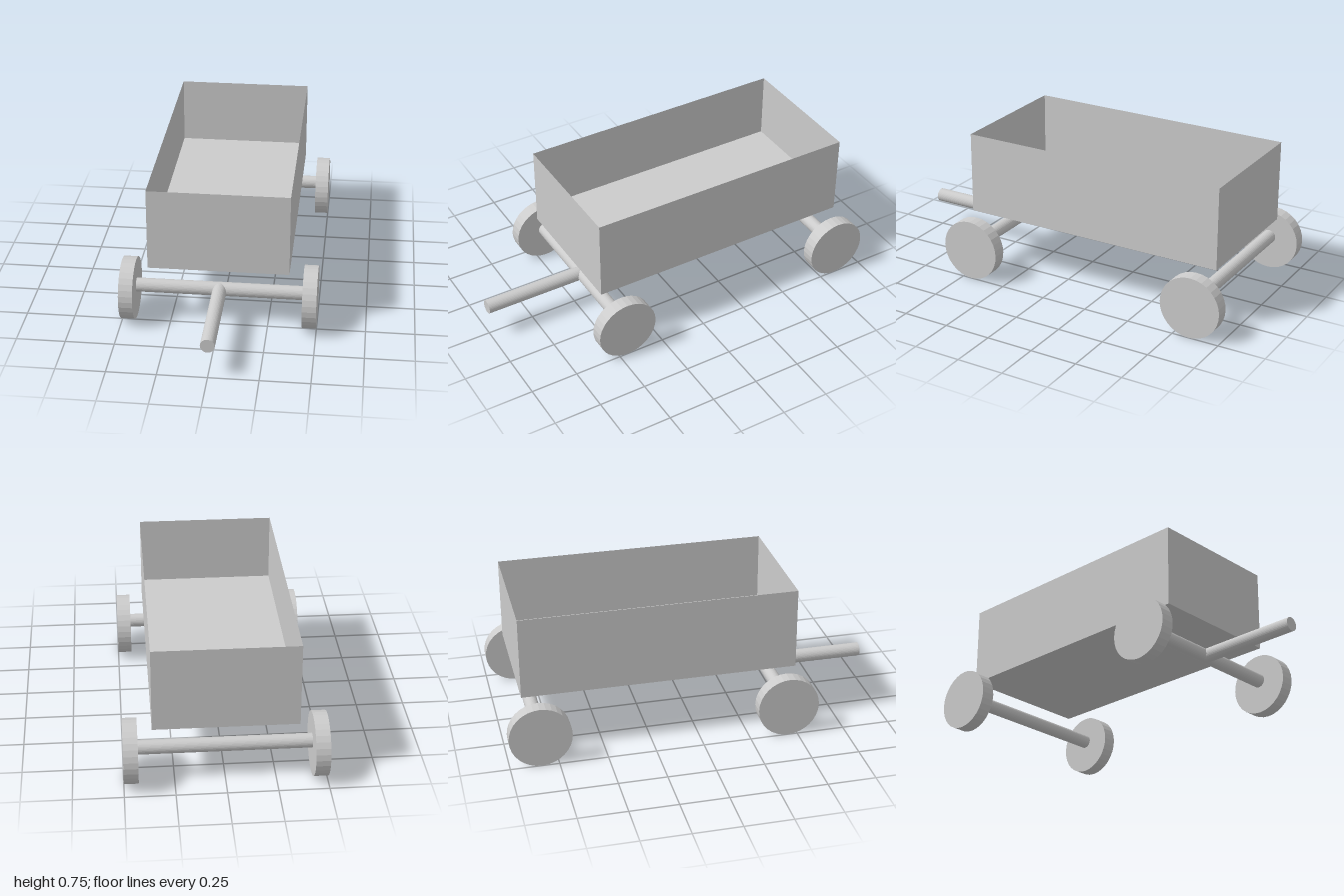
import * as THREE from 'three';

const SIDES = 32;

export function createModel() {
  const wagon = new THREE.Group();
  wagon.name = 'wagon';
  const solid = new THREE.MeshStandardMaterial({ color: 0xcccccc, flatShading: true });
  const sheet = new THREE.MeshStandardMaterial({ color: 0xcccccc, flatShading: true, side: THREE.DoubleSide });

  const add = (name, geometry, material, x, y, z) => {
    const mesh = new THREE.Mesh(geometry, material);
    mesh.name = name;
    mesh.position.set(x, y, z);
    wagon.add(mesh);
    return mesh;
  };

  // Open tray: thick floor slab with thin sheet walls standing on its edges
  const width = 0.716, length = 1.434, centreZ = -0.193;
  const bottom = 0.322, floorTop = 0.394, rim = 0.752;
  const wallHeight = rim - floorTop, wallY = (rim + floorTop) / 2;
  add('floor', new THREE.BoxGeometry(width, floorTop - bottom, length), solid, 0, (bottom + floorTop) / 2, centreZ);
  for (const side of [1, -1]) {
    const endWall = add(side > 0 ? 'frontWall' : 'backWall',
      new THREE.PlaneGeometry(width, wallHeight), sheet, 0, wallY, centreZ + side * length / 2);
    endWall.rotation.y = side > 0 ? 0 : Math.PI;
    const sideWall = add(side > 0 ? 'leftWall' : 'rightWall',
      new THREE.PlaneGeometry(length, wallHeight), sheet, side * width / 2, wallY, centreZ);
    sideWall.rotation.y = side * Math.PI / 2;
  }

  // Axles with a disc wheel at each end
  const wheelRadius = 0.161, wheelWidth = 0.072, rodRadius = 0.036, rodY = 0.179;
  const wheelGeometry = new THREE.CylinderGeometry(wheelRadius, wheelRadius, wheelWidth, SIDES).rotateZ(Math.PI / 2);
  const axleGeometry = new THREE.CylinderGeometry(rodRadius, rodRadius, 0.9, SIDES).rotateZ(Math.PI / 2);
  for (const [end, z] of [['front', 0.451], ['rear', -0.839]]) {
    add(end + 'Axle', axleGeometry, solid, 0, rodY, z);
    for (const side of [1, -1]) {
      add(end + (side > 0 ? 'Left' : 'Right') + 'Wheel', wheelGeometry, solid,
        side * (0.5 - wheelWidth / 2), wheelRadius, z);
    }
  }

  // Pull handle running forward from the front axle
  const handleStart = 0.451, handleEnd = 1;
  add('handle', new THREE.CylinderGeometry(rodRadius, rodRadius, handleEnd - handleStart, SIDES).rotateX(Math.PI / 2),
    solid, 0, rodY, (handleStart + handleEnd) / 2);

  return wagon;
}
